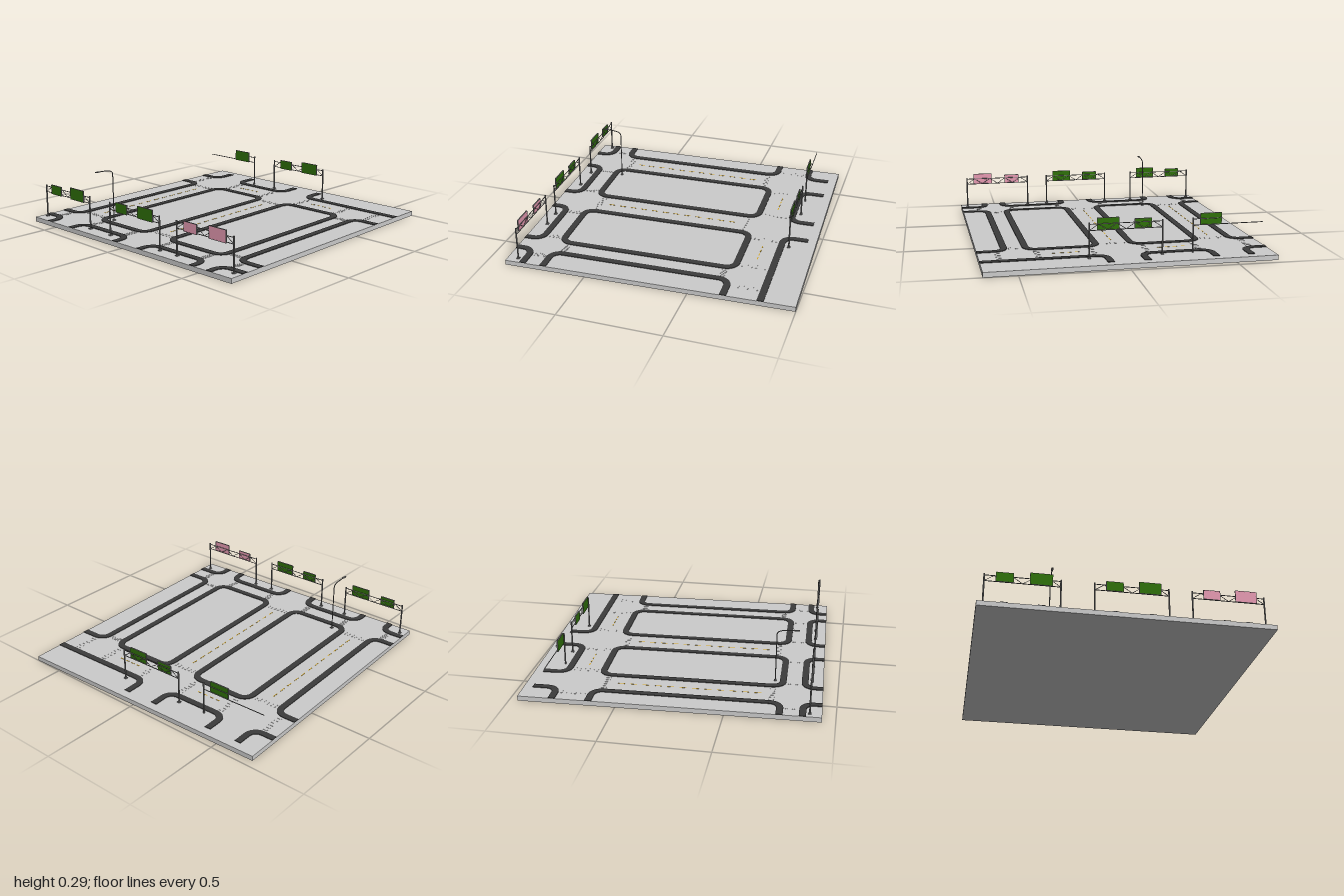
import * as THREE from 'three';

const GROUND = 0.375;
const HALF_W = 0.678, HALF_D = 0.70;
const paint = (color) => new THREE.MeshStandardMaterial({ color, side: THREE.DoubleSide });
const mats = {
  grey: paint(0xcccccc), kerb: paint(0x3c3c3c), steel: paint(0x777777),
  yellow: paint(0xd8a820), green: paint(0x2f7009), pink: paint(0xe69ab2),
};

function add(parent, geometry, material, name, x = 0, y = 0, z = 0) {
  const mesh = new THREE.Mesh(geometry, material);
  mesh.name = name;
  mesh.position.set(x, y, z);
  parent.add(mesh);
  return mesh;
}

const box = (parent, name, mat, w, h, d, x, y, z) =>
  add(parent, new THREE.BoxGeometry(w, h, d), mat, name, x, y, z);

// Straight round bar between two points
function bar(parent, name, a, b, r) {
  const from = new THREE.Vector3(...a), to = new THREE.Vector3(...b);
  const dir = to.clone().sub(from);
  const mesh = add(parent, new THREE.CylinderGeometry(r, r, dir.length(), 8), mats.steel, name);
  mesh.position.copy(from).addScaledVector(dir, 0.5);
  mesh.quaternion.setFromUnitVectors(new THREE.Vector3(0, 1, 0), dir.normalize());
}

// Flat kerb band following a polyline with rounded corners
function kerb(parent, corners, closed = false) {
  const R = 0.05, half = 0.016, n = corners.length;
  const pts = corners.map((c) => new THREE.Vector2(...c));
  const line = [];
  pts.forEach((p, i) => {
    if (!closed && (i === 0 || i === n - 1)) return line.push(p);
    const toward = (q) => q.clone().sub(p).setLength(R).add(p);
    const a = toward(pts[(i + n - 1) % n]), b = toward(pts[(i + 1) % n]);
    const centre = a.clone().add(b).sub(p);
    for (let k = 0; k <= 8; k++) {
      const t = (k / 8) * Math.PI / 2;
      line.push(centre.clone()
        .addScaledVector(a.clone().sub(centre), Math.cos(t))
        .addScaledVector(b.clone().sub(centre), Math.sin(t)));
    }
  });
  const m = line.length;
  const offset = (d) => line.map((p, i) => {
    const prev = closed ? line[(i + m - 1) % m] : line[Math.max(i - 1, 0)];
    const next = closed ? line[(i + 1) % m] : line[Math.min(i + 1, m - 1)];
    const t = next.clone().sub(prev).normalize();
    return new THREE.Vector2(p.x + t.y * d, p.y - t.x * d);
  });
  let shape;
  if (closed) {
    shape = new THREE.Shape(offset(half));
    shape.holes.push(new THREE.Path(offset(-half)));
  } else {
    shape = new THREE.Shape([...offset(half), ...offset(-half).reverse()]);
  }
  const geo = new THREE.ExtrudeGeometry(shape, { depth: 0.004, bevelEnabled: false });
  geo.rotateX(Math.PI / 2);
  add(parent, geo, mats.kerb, 'kerb', 0, GROUND + 0.003, 0);
}

// Sign board with a thin steel border behind it
function sign(parent, mat, x0, x1, y1) {
  const w = x1 - x0, y0 = 0.503, h = y1 - y0, x = (x0 + x1) / 2, y = (y0 + y1) / 2;
  box(parent, 'signPanel', mat, w, h, 0.005, x, y, 0.006);
  for (const s of [-1, 1]) {
    box(parent, 'signBorder', mats.steel, w, 0.002, 0.006, x, y + s * h / 2, 0.006);
    box(parent, 'signBorder', mats.steel, 0.002, h, 0.006, x + s * w / 2, y, 0.006);
  }
}

// Two-post overhead gantry with a braced truss, left post at x = 0
function gantry(parent, x, z, mat) {
  const g = new THREE.Group();
  g.name = 'signGantry';
  g.position.set(x, 0, z);
  parent.add(g);
  const span = 0.343, lo = 0.505, hi = 0.534, bays = 8;
  for (const px of [0, span]) {
    bar(g, 'post', [px, GROUND - 0.005, 0], [px, 0.541, 0], 0.0038);
    box(g, 'postFoot', mats.steel, 0.014, 0.004, 0.014, px, GROUND + 0.002, 0);
  }
  for (const y of [lo, hi]) bar(g, 'chord', [0, y, 0], [span, y, 0], 0.002);
  for (let i = 0; i < bays; i++) {
    const a = (i / bays) * span, b = ((i + 1) / bays) * span;
    const up = i % 2 === 0;
    bar(g, 'brace', [a, up ? lo : hi, 0], [b, up ? hi : lo, 0], 0.0014);
  }
  sign(g, mat, 0.052, 0.13, 0.549);
  sign(g, mat, 0.204, 0.305, 0.56);
}

// One-post gantry with a long slim arm
function cantilever(parent, x, z) {
  const g = new THREE.Group();
  g.name = 'cantileverSign';
  g.position.set(x, 0, z);
  parent.add(g);
  bar(g, 'post', [0, GROUND - 0.005, 0], [0, 0.541, 0], 0.0038);
  bar(g, 'arm', [-0.34, 0.505, 0], [0, 0.505, 0], 0.002);
  bar(g, 'upperArm', [-0.14, 0.534, 0], [0, 0.534, 0], 0.002);
  sign(g, mats.green, -0.138, -0.037, 0.558);
}

// Dashed centre line along x or z
function dashes(parent, axis, from, to, fixed, count) {
  const step = (to - from) / count, len = step * 0.55;
  for (let i = 0; i < count; i++) {
    const c = from + (i + 0.5) * step;
    if (axis === 'z') box(parent, 'laneDash', mats.yellow, 0.004, 0.002, len, fixed, GROUND, c);
    else box(parent, 'laneDash', mats.yellow, len, 0.002, 0.004, c, GROUND, fixed);
  }
}

// Row of crossing stripes over a road
function crossing(parent, axis, from, to, fixed) {
  for (let i = 0; i < 6; i++) {
    const c = from + ((i + 0.5) / 6) * (to - from);
    if (axis === 'x') box(parent, 'crossingStripe', mats.grey, 0.007, 0.002, 0.025, c, GROUND, fixed);
    else box(parent, 'crossingStripe', mats.grey, 0.025, 0.002, 0.007, fixed, GROUND, c);
  }
}

export function createModel() {
  const model = new THREE.Group();
  model.name = 'roadDistrict';
  const site = new THREE.Group();
  site.name = 'site';
  site.position.set(-0.0025, 0, -0.28);
  site.rotation.y = 0.029;
  model.add(site);

  box(site, 'groundSlab', mats.grey, HALF_W * 2, 0.0235, HALF_D * 2, 0, GROUND - 0.01175, 0);

  // Kerbs around the two central blocks
  const N = -0.366, S = 0.509, north = -0.538, south = 0.613, stop = -0.657;
  for (const [l, r] of [[-0.394, -0.066], [0.104, 0.444]]) {
    kerb(site, [[l, N], [r, N], [r, S], [l, S]], true);
    kerb(site, [[l, HALF_D], [l, south], [r, south], [r, HALF_D]]);
  }
  // Kerbs of the blocks cut by the slab edges
  const L = -0.564, R = 0.546;
  kerb(site, [[-HALF_W, N], [L, N], [L, S], [-HALF_W, S]]);
  kerb(site, [[HALF_W, N], [R, N], [R, S], [HALF_W, S]]);
  kerb(site, [[-HALF_W, south], [L + 0.005, south], [L + 0.005, HALF_D]]);
  kerb(site, [[HALF_W, south], [R, south], [R, HALF_D]]);
  kerb(site, [[-HALF_W, north], [L, north], [L, stop]]);
  kerb(site, [[-0.394, stop], [-0.394, north], [-0.07, north], [-0.07, stop]]);
  kerb(site, [[0.1, stop], [0.1, north], [HALF_W, north]]);

  // Road markings
  dashes(site, 'z', -0.28, 0.43, -0.477, 12);
  dashes(site, 'z', -0.28, 0.43, 0.018, 12);
  dashes(site, 'x', -0.31, -0.16, -0.452, 4);
  dashes(site, 'x', 0.2, 0.345, -0.452, 4);
  for (const [a, b] of [[L, -0.394], [-0.066, 0.104], [0.444, R]]) {
    for (const z of [-0.325, 0.465]) crossing(site, 'x', a + 0.02, b - 0.02, z);
    for (const x of [a - 0.04, b + 0.04]) {
      crossing(site, 'z', north + 0.02, N - 0.02, x);
      crossing(site, 'z', S + 0.02, south - 0.02, x);
    }
  }

  // Overhead signs
  gantry(site, -0.648, 0.645, mats.green);
  gantry(site, -0.152, 0.648, mats.green);
  gantry(site, 0.301, 0.647, mats.pink);
  gantry(site, -0.158, -0.576, mats.green);
  cantilever(site, -0.305, -0.573);

  // Street lamp with an arm curving toward the front
  const lamp = new THREE.Group();
  lamp.name = 'streetLamp';
  lamp.position.set(-0.323, 0, 0.2);
  model.add(lamp);
  const path = new THREE.CurvePath();
  const v = (y, z) => new THREE.Vector3(0, y, z);
  path.add(new THREE.LineCurve3(v(GROUND - 0.005, 0), v(0.615, 0)));
  path.add(new THREE.CubicBezierCurve3(v(0.615, 0), v(0.637, 0), v(0.639, 0.03), v(0.641, 0.09)));
  add(lamp, new THREE.TubeGeometry(path, 48, 0.0025, 8), mats.steel, 'lampPole');
  box(lamp, 'lampHead', mats.steel, 0.01, 0.004, 0.026, 0, 0.641, 0.093);
  box(lamp, 'lampFoot', mats.steel, 0.012, 0.005, 0.012, 0, GROUND + 0.002, 0);

  return model;
}
